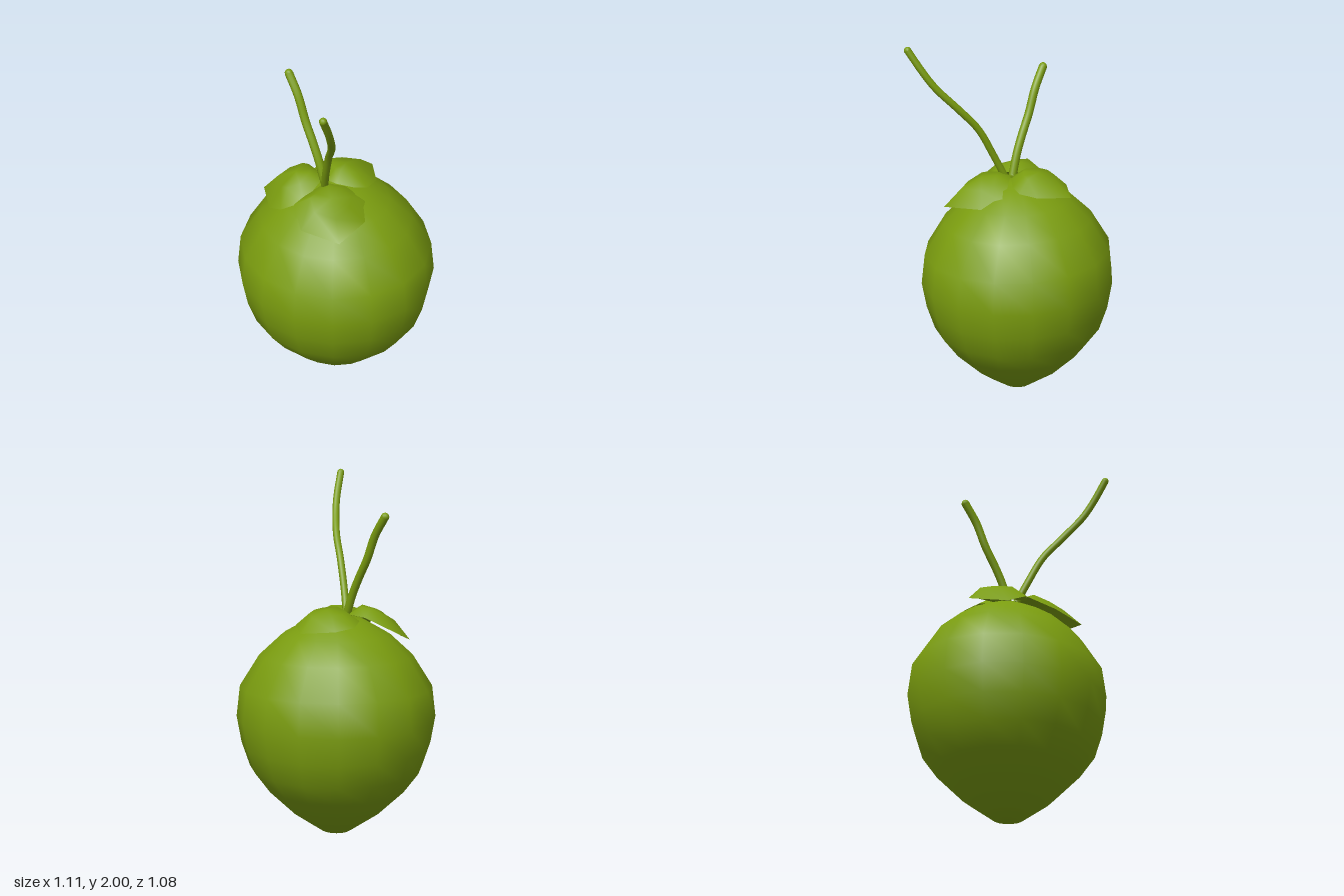
import * as THREE from 'three';

const green = new THREE.MeshStandardMaterial({ color: 0x7a9c0f });
green.name = 'husk green';
const leafGreen = green.clone();
leafGreen.name = 'leaf green';
leafGreen.side = THREE.DoubleSide;

// Husk: a 16-sided turned body, slightly flattened in z and tilted at the top
function makeHusk() {
  const profile = [
    [0, 0], [0.085, 0.015], [0.25, 0.13], [0.4, 0.275], [0.485, 0.39], [0.53, 0.525],
    [0.556, 0.675], [0.535, 0.85], [0.425, 1.025], [0.3, 1.14], [0.15, 1.225], [0, 1.25],
  ].map(([r, y]) => new THREE.Vector2(r, y));
  const geo = new THREE.LatheGeometry(profile, 16);
  const p = geo.attributes.position;
  for (let i = 0; i < p.count; i++) {
    const x = p.getX(i), y = p.getY(i), z = p.getZ(i) * 0.97;
    const tilt = 0.02 * THREE.MathUtils.smoothstep(y, 0.5, 0.9);
    p.setXYZ(i, x, y - tilt * (x + z), z - 0.025 * x);
  }
  const mesh = new THREE.Mesh(geo, green);
  mesh.name = 'husk';
  return mesh;
}

// Cap leaf: a domed patch made of a centre, a raised middle ring and a rim
function makeLeaf(name, centre, rim, bulge) {
  const n = rim.length;
  const verts = [...centre];
  for (const t of [0.55, 1]) {
    for (const q of rim) {
      const lift = t < 1 ? bulge : 0;
      verts.push(...q.map((v, k) => centre[k] + (v - centre[k]) * t + (k === 1 ? lift : 0)));
    }
  }
  const index = [];
  for (let i = 0; i < n; i++) {
    const a = 1 + i, b = 1 + (i + 1) % n;
    index.push(0, a, b, a, a + n, b + n, a, b + n, b);
  }
  const geo = new THREE.BufferGeometry();
  geo.setAttribute('position', new THREE.Float32BufferAttribute(verts, 3));
  geo.setIndex(index);
  geo.computeVertexNormals();
  const mesh = new THREE.Mesh(geo, leafGreen);
  mesh.name = name;
  return mesh;
}

// Stalk: a bent round tube with rounded ends
function makeStalk(name, points, radius) {
  const group = new THREE.Group();
  group.name = name;
  const path = new THREE.CatmullRomCurve3(points.map((q) => new THREE.Vector3(...q)));
  const tube = new THREE.Mesh(new THREE.TubeGeometry(path, 24, radius, 10), green);
  tube.name = name + 'Stem';
  group.add(tube);
  for (const t of [0, 1]) {
    const end = new THREE.Mesh(new THREE.SphereGeometry(radius, 10, 8), green);
    end.position.copy(path.getPoint(t));
    end.name = name + 'End';
    group.add(end);
  }
  return group;
}

export function createModel() {
  const model = new THREE.Group();
  model.name = 'coconut';
  model.add(makeHusk());

  // Rims run counter-clockwise seen from above
  model.add(makeLeaf('leftLeaf', [0.13, 1.265, 0.15], [
    [-0.02, 1.25, 0.06], [-0.03, 1.22, 0.2], [-0.035, 1.195, 0.27], [0.1, 1.128, 0.337],
    [0.32, 1.122, 0.26], [0.28, 1.14, 0.04], [0.2, 1.18, -0.06], [0.08, 1.25, 0],
  ], 0.025));
  model.add(makeLeaf('rightLeaf', [-0.17, 1.285, 0.14], [
    [-0.08, 1.255, 0.02], [-0.21, 1.255, 0.01], [-0.31, 1.19, 0.1], [-0.35, 1.125, 0.22],
    [-0.19, 1.115, 0.315], [-0.08, 1.165, 0.325], [-0.012, 1.2, 0.22], [-0.03, 1.26, 0.09],
  ], 0.03));
  model.add(makeLeaf('backLeaf', [-0.04, 1.295, -0.11], [
    [-0.05, 1.19, -0.32], [-0.19, 1.2, -0.195], [-0.23, 1.215, -0.09], [-0.18, 1.235, 0],
    [-0.03, 1.255, 0.04], [0.03, 1.25, 0.02], [0.1, 1.235, -0.04], [0.135, 1.22, -0.11],
    [0.1, 1.205, -0.21],
  ], 0.028));

  model.add(makeStalk('rightStalk', [
    [-0.03, 1.25, 0.055], [-0.07, 1.36, 0.057], [-0.12, 1.46, 0.057], [-0.18, 1.565, 0.056],
    [-0.24, 1.7, 0.055], [-0.312, 1.805, 0.055],
  ], 0.023));
  model.add(makeStalk('leftStalk', [
    [0.005, 1.25, 0.085], [0.055, 1.37, 0.12], [0.13, 1.53, 0.165], [0.22, 1.65, 0.225],
    [0.31, 1.775, 0.31], [0.35, 1.86, 0.36], [0.39, 1.98, 0.43],
  ], 0.02));
  return model;
}
